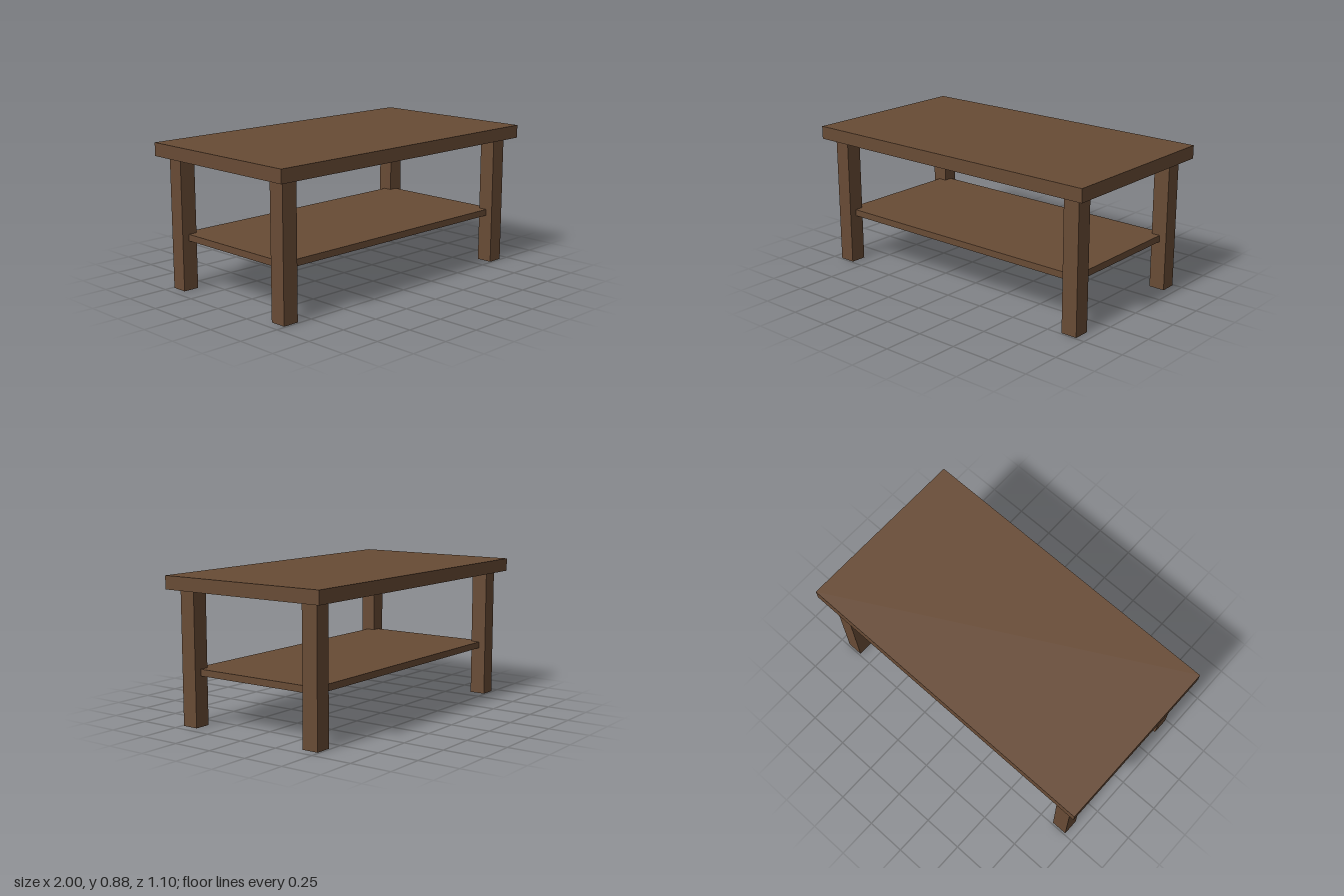
import * as THREE from 'three';

export function createModel() {
  const table = new THREE.Group();
  table.name = 'coffeeTable';
  const wood = new THREE.MeshStandardMaterial({ color: 0x684b35 });
  wood.name = 'brown wood';

  // Adds a wooden board whose underside sits at the given height
  const addBoard = (name, width, height, depth, x, bottom, z) => {
    const board = new THREE.Mesh(new THREE.BoxGeometry(width, height, depth), wood);
    board.name = name;
    board.position.set(x, bottom + height / 2, z);
    table.add(board);
  };

  addBoard('tableTop', 2, 0.08, 1.1, 0, 0.8, 0);

  // Shelf with its corners let into the legs
  addBoard('lowerShelf', 1.79, 0.04, 0.89, 0, 0.3, 0);

  // Four square legs
  for (const [side, x] of [['Left', 0.89], ['Right', -0.89]]) {
    for (const [end, z] of [['front', 0.44], ['back', -0.44]]) {
      addBoard(`${end}${side}Leg`, 0.1, 0.8, 0.1, x, 0, z);
    }
  }
  return table;
}
